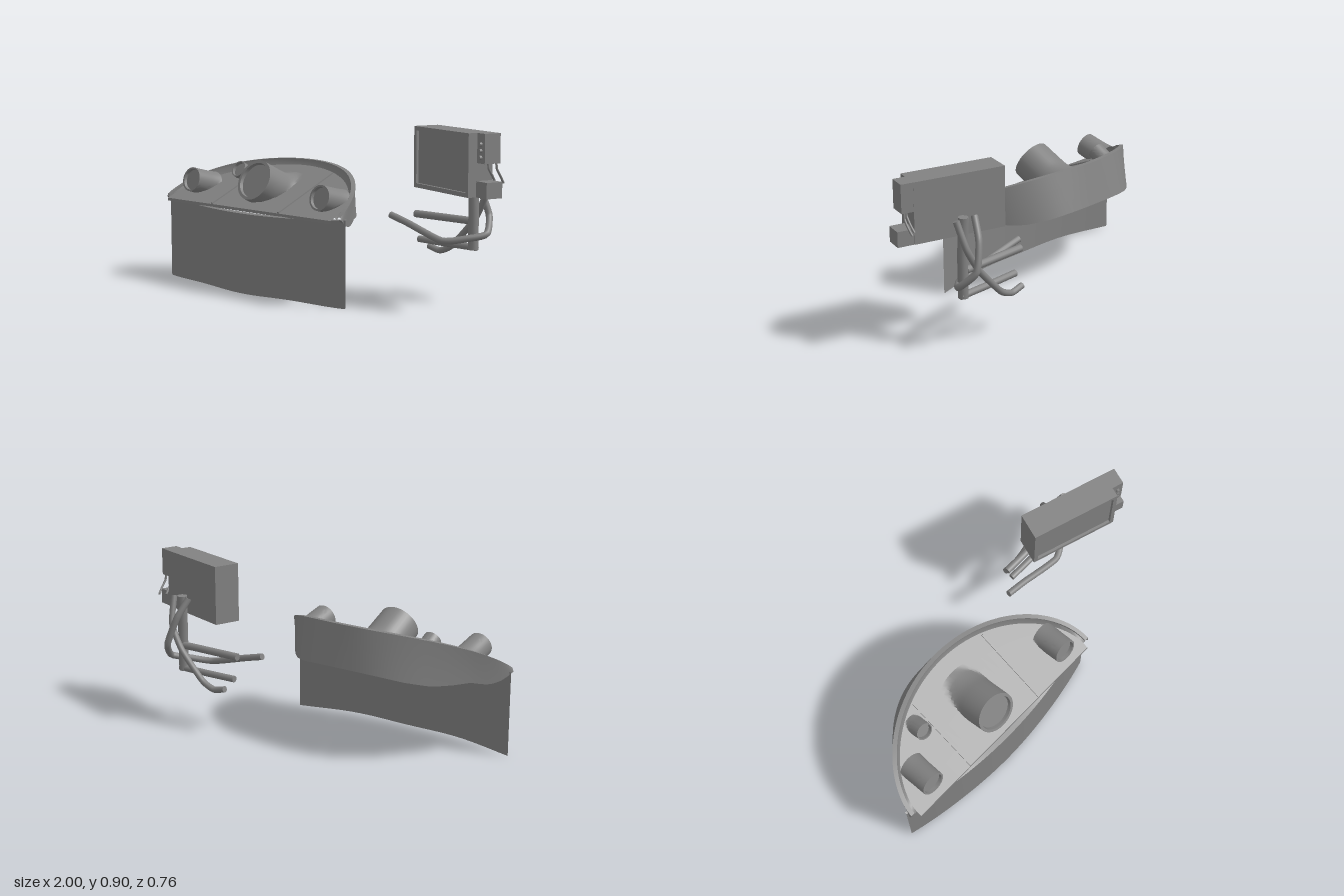
import * as THREE from 'three';
import { toCreasedNormals } from 'three/addons/utils/BufferGeometryUtils.js';

const darkGrey = new THREE.MeshStandardMaterial({ color: 0x828282, side: THREE.DoubleSide });
const CX = -0.33; // middle of the dashboard

function add(parent, name, geometry, x = 0, y = 0, z = 0) {
  const mesh = new THREE.Mesh(geometry, darkGrey);
  mesh.name = name;
  mesh.position.set(x, y, z);
  parent.add(mesh);
  return mesh;
}

// Surface through a list of equally long cross-sections
function loft(sections) {
  const n = sections[0].length, index = [];
  for (let i = 0; i < sections.length - 1; i++) {
    for (let j = 0; j < n - 1; j++) {
      const a = i * n + j, b = a + n;
      index.push(a, b, a + 1, b, b + 1, a + 1);
    }
  }
  const geo = new THREE.BufferGeometry();
  geo.setAttribute('position', new THREE.Float32BufferAttribute(sections.flat(2), 3));
  geo.setIndex(index);
  return toCreasedNormals(geo, 0.6);
}

const sweep = (n, fn) => Array.from({ length: n + 1 }, (_, i) => fn(i / n));
const plateY = (z) => 0.45 + (0.355 - z) * 0.42;
const rimY = (z) => 0.45 + 0.69 * (0.35 - z) - 0.439 * (0.35 - z) ** 2;

// Height of the hood's wavy lower edge at depth z
const EDGE = [[-0.2, 0.465], [-0.14, 0.44], [-0.06, 0.42], [0.02, 0.42], [0.1, 0.424],
  [0.16, 0.407], [0.2, 0.402], [0.25, 0.41], [0.29, 0.43], [0.33, 0.455]];
function edgeY(z) {
  let i = 0;
  while (i < EDGE.length - 2 && z > EDGE[i + 1][0]) i++;
  const [a, b] = [EDGE[i], EDGE[i + 1]];
  return THREE.MathUtils.mapLinear(z, a[0], b[0], a[1], b[1]);
}

// Rounded outline: half width, front depth, reach to the back
function arc(t, halfWidth, front, reach) {
  const s = Math.max(0, Math.sin(t * Math.PI));
  return [CX - halfWidth * Math.cos(t * Math.PI), front - reach * s ** 1.17];
}
const plateArc = (t) => arc(t, 0.625, 0.325, 0.43);

// From the plate over the rim and down the outside; the lower edge is squarer
function hoodSection(t) {
  const c = Math.cos(t * Math.PI);
  const [xi, zi] = plateArc(t);
  const [xa, za] = arc(t, 0.64, 0.325, 0.44);
  const [xb, zb] = arc(t, 0.662, 0.323, 0.462);
  const xe = CX - 0.67 * c, ze = 0.32 - 0.517 * (1 - Math.abs(c) ** 2.8);
  const top = rimY(za), low = Math.min(edgeY(ze), top - 0.015);
  const mid = (f) => [xb + (xe - xb) * f, THREE.MathUtils.lerp(top, low, f), zb + (ze - zb) * f];
  return [
    [xi, plateY(zi), zi], [xa, top - 0.012, za], [xa, top, za], [xb, top, zb],
    mid(0.35), mid(0.7), [xe, low, ze],
    [xe + (CX - xe) * 0.02, low + 0.008, ze + 0.01],
  ];
}

// Instrument pod whose foot is pressed onto the sloping plate
function pod(parent, name, x, y, z, r, len, tilt, flare) {
  const profile = sweep(14, (f) => new THREE.Vector2(
    r * (1 + 0.04 * (1 - f) + flare * Math.max(0, 0.45 - f) ** 2), -len * (1 - f)));
  profile.push(new THREE.Vector2(r * 0.86, 0), new THREE.Vector2(r * 0.83, -0.018),
    new THREE.Vector2(0.0001, -0.018));
  const geo = new THREE.LatheGeometry(profile, 40);
  geo.rotateX(Math.PI / 2 - tilt);
  geo.translate(x, y, z);
  const p = geo.attributes.position;
  for (let i = 0; i < p.count; i++) {
    p.setY(i, Math.max(p.getY(i), plateY(p.getZ(i)) + 0.002));
  }
  add(parent, name, toCreasedNormals(geo, 0.6));
}

function pipe(parent, name, r, points, tension = 0.3) {
  const path = new THREE.CatmullRomCurve3(
    points.map((p) => new THREE.Vector3(...p)), false, 'catmullrom', tension);
  const group = new THREE.Group();
  group.name = name;
  parent.add(group);
  add(group, name + 'Tube', new THREE.TubeGeometry(path, 56, r, 12));
  // Closed ends
  for (const t of [0, 1]) {
    const cap = add(group, name + 'End', new THREE.CircleGeometry(r, 12));
    const outward = path.getTangent(t).multiplyScalar(t * 2 - 1);
    cap.position.copy(path.getPoint(t));
    cap.lookAt(cap.position.clone().add(outward));
  }
}

function buildDashboard() {
  const g = new THREE.Group();
  g.name = 'dashboard';

  // Bowed apron below the instruments, with a small lip turned back at the top
  add(g, 'frontApron', loft(sweep(40, (f) => {
    const u = f * 2 - 1, x = CX + 0.67 * u, z = 0.383 - 0.088 * u * u;
    const top = 0.428 + 0.022 * u * u;
    return [[x, 0.008 * Math.sin(u * Math.PI) ** 2, z], [x, top, z],
      [x, top + 0.005, Math.min(z - 0.012, 0.356)]];
  })));

  // Sloping D-shaped instrument plate with a folded front edge
  add(g, 'instrumentPlate', loft(sweep(48, (t) => {
    const [x, z] = plateArc(t);
    const slope = sweep(4, (f) => {
      const zz = THREE.MathUtils.lerp(0.355, z, f);
      return [x, plateY(zz), zz];
    });
    return [[x, 0.435, 0.356], ...slope];
  })));

  add(g, 'hood', loft(sweep(72, hoodSection)));

  // Dividers between the three plate sections
  for (const x of [-0.59, -0.08]) {
    const bar = add(g, 'plateDivider', new THREE.BoxGeometry(0.012, 0.014, 0.44),
      x, plateY(0.15), 0.15);
    bar.rotation.x = Math.atan(0.42);
  }

  pod(g, 'mainGauge', CX, 0.597, 0.285, 0.113, 0.27, 0.47, 1.6);
  pod(g, 'rightGauge', -0.81, 0.562, 0.306, 0.067, 0.165, 0.27, 0.3);
  pod(g, 'leftGauge', 0.17, 0.55, 0.306, 0.067, 0.165, 0.27, 0.3);
  pod(g, 'smallGauge', -0.655, 0.615, 0.096, 0.047, 0.1, 0.53, 0.3);
  return g;
}

function buildMonitor() {
  const g = new THREE.Group();
  g.name = 'monitor';
  g.position.set(0.667, 0.7425, -0.141);
  g.rotation.y = -0.3025;
  const W = 0.487, H = 0.315, D = 0.144;

  add(g, 'monitorCase', new THREE.BoxGeometry(W, H, D - 0.014), 0, 0, -0.007);

  // Raised frame around the screen
  const rect = (target, w, h) => {
    target.moveTo(-w / 2, -h / 2);
    target.lineTo(w / 2, -h / 2);
    target.lineTo(w / 2, h / 2);
    target.lineTo(-w / 2, h / 2);
    target.closePath();
    return target;
  };
  const frame = rect(new THREE.Shape(), W, H);
  frame.holes.push(rect(new THREE.Path(), W - 0.044, H - 0.044));
  add(g, 'screenFrame', new THREE.ExtrudeGeometry(frame, { depth: 0.014, bevelEnabled: false }),
    0, 0, D / 2 - 0.014);

  // Control boxes on the end, with knobs and cables
  add(g, 'controlBox', new THREE.BoxGeometry(0.065, 0.147, 0.092), 0.275, 0.084, -0.025);
  add(g, 'socketBox', new THREE.BoxGeometry(0.09, 0.08, 0.092), 0.286, -0.1175, -0.022);
  for (const y of [0.105, 0.073, 0.04]) {
    const knob = add(g, 'knob', new THREE.CylinderGeometry(0.01, 0.01, 0.014, 16), 0.277, y, 0.027);
    knob.rotation.x = Math.PI / 2;
  }
  for (const [x, z] of [[0.265, -0.03], [0.29, -0.06]]) {
    pipe(g, 'cable', 0.006, [[x, 0.015, z], [x, -0.02, z - 0.005],
      [x - 0.005, -0.055, z - 0.03], [x - 0.015, -0.09, z - 0.055]]);
  }
  return g;
}

function buildStand() {
  const g = new THREE.Group();
  g.name = 'monitorStand';
  pipe(g, 'upright', 0.027, [[0.72, 0.28, -0.252], [0.72, 0.5, -0.252], [0.715, 0.7, -0.257]]);
  pipe(g, 'lowerBar', 0.018, [[0.36, 0.295, -0.255], [0.55, 0.292, -0.255], [0.74, 0.292, -0.255]]);
  pipe(g, 'upperBar', 0.02, [[0.33, 0.425, -0.262], [0.5, 0.425, -0.262], [0.71, 0.425, -0.262]]);
  pipe(g, 'frontBentPipe', 0.018, [[0.24, 0.42, -0.165], [0.36, 0.39, -0.16], [0.6, 0.325, -0.145],
    [0.71, 0.34, -0.21], [0.78, 0.363, -0.285], [0.735, 0.45, -0.362], [0.69, 0.59, -0.335],
    [0.656, 0.695, -0.272]]);
  pipe(g, 'rearBentPipe', 0.017, [[0.375, 0.252, -0.318], [0.45, 0.236, -0.318], [0.53, 0.272, -0.32],
    [0.67, 0.42, -0.322], [0.745, 0.55, -0.31], [0.768, 0.695, -0.262]]);
  return g;
}

export function createModel() {
  const model = new THREE.Group();
  model.name = 'dashboardWithMonitor';
  model.add(buildDashboard(), buildMonitor(), buildStand());
  return model;
}
